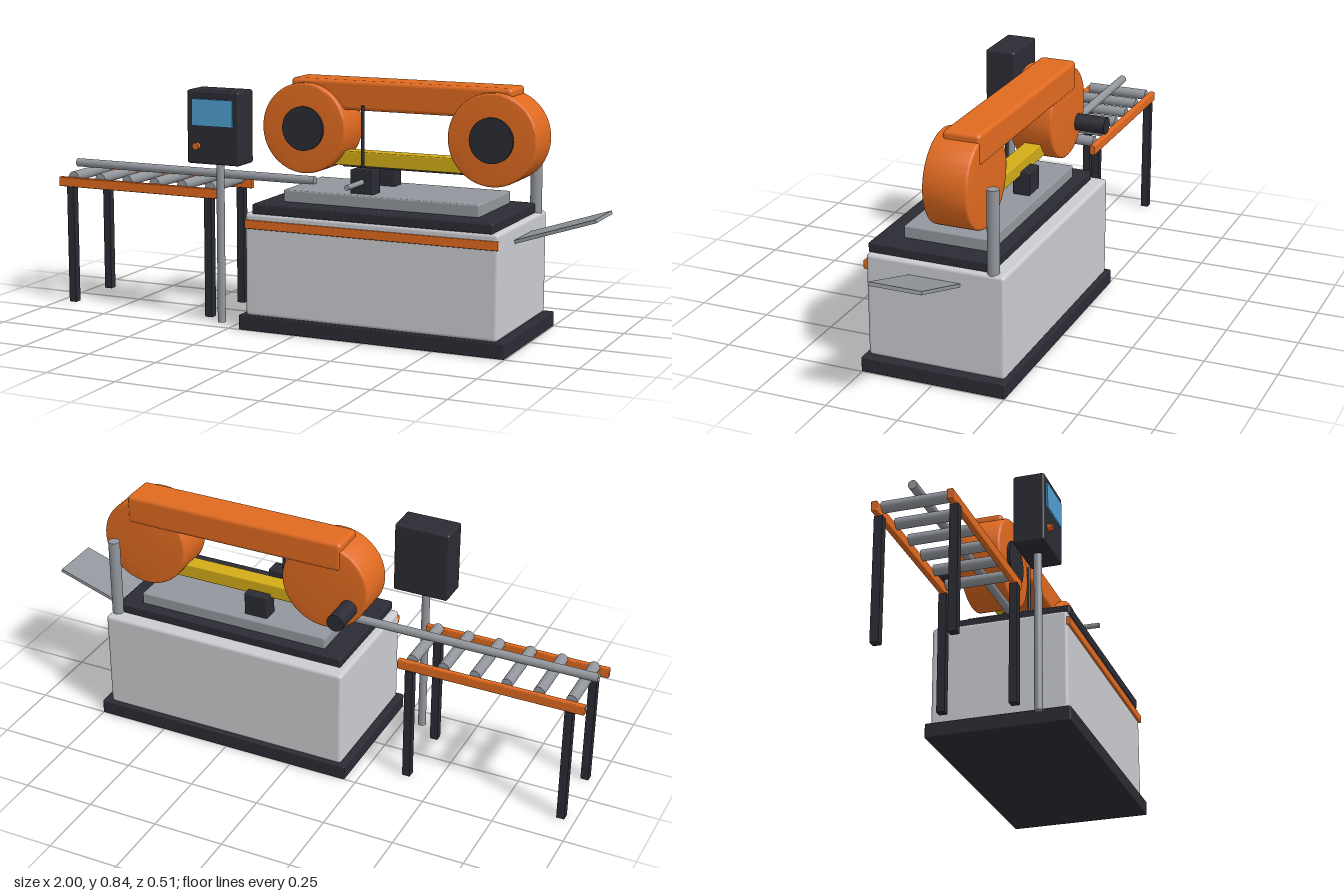
import * as THREE from 'three';
import { RoundedBoxGeometry } from 'three/addons/geometries/RoundedBoxGeometry.js';
import { toCreasedNormals } from 'three/addons/utils/BufferGeometryUtils.js';

export function createModel() {
  const model = new THREE.Group();
  model.name = 'bandSaw';

  const material = (name, color) => {
    const m = new THREE.MeshStandardMaterial({ color });
    m.name = name;
    return m;
  };
  const orange = material('orange paint', 0xe06a20);
  const dark = material('dark paint', 0x2b2c34);
  const light = material('light grey paint', 0xcbccd0);
  const steel = material('steel', 0x92969c);
  const yellow = material('yellow paint', 0xd2ac18);
  const blue = material('screen blue', 0x4f9fd0);

  const add = (name, geometry, mat, x = 0, y = 0, z = 0) => {
    const mesh = new THREE.Mesh(geometry, mat);
    mesh.name = name;
    mesh.position.set(x, y, z);
    model.add(mesh);
    return mesh;
  };
  // Box given by its ranges, with an optional edge radius
  const box = (name, mat, [x0, x1], [y0, y1], [z0, z1], r = 0) => {
    const size = [x1 - x0, y1 - y0, z1 - z0];
    const geometry = r ? new RoundedBoxGeometry(...size, 3, r) : new THREE.BoxGeometry(...size);
    return add(name, geometry, mat, (x0 + x1) / 2, (y0 + y1) / 2, (z0 + z1) / 2);
  };
  // Round bar between two points
  const rod = (name, mat, r, from, to) => {
    const a = new THREE.Vector3(...from);
    const b = new THREE.Vector3(...to);
    const mesh = add(name, new THREE.CylinderGeometry(r, r, a.distanceTo(b), 32), mat);
    mesh.position.copy(a).add(b).multiplyScalar(0.5);
    mesh.quaternion.setFromUnitVectors(new THREE.Vector3(0, 1, 0), b.sub(a).normalize());
    return mesh;
  };

  // Machine base
  box('plinth', dark, [-0.21, 0.75], [0, 0.052], [-0.253, 0.253], 0.004);
  box('cabinet', light, [-0.19, 0.72], [0.05, 0.406], [-0.24, 0.24], 0.012);
  box('cabinetStripe', orange, [-0.188, 0.72], [0.353, 0.383], [0.235, 0.249], 0.003);
  box('deck', dark, [-0.163, 0.7], [0.404, 0.438], [-0.19, 0.24], 0.005);
  box('table', steel, [-0.087, 0.62], [0.436, 0.479], [-0.152, 0.152], 0.005);

  // Saw head: two wheel housings joined by a beam
  const bevel = 0.007;
  const disc = new THREE.Shape().absarc(0, 0, 0.157 - bevel, 0, Math.PI * 2);
  const wheelGeometry = toCreasedNormals(new THREE.ExtrudeGeometry(disc, {
    depth: 0.151 - 2 * bevel, bevelThickness: bevel, bevelSize: bevel, bevelSegments: 3, curveSegments: 32,
  }), 0.6);
  for (const x of [-0.077, 0.61]) {
    add('wheelHousing', wheelGeometry, orange, x, 0.672, -0.136 + bevel);
    rod('wheelHub', dark, 0.077, [x, 0.672, 0.01], [x, 0.672, 0.025]);
  }
  box('headBeam', orange, [-0.137, 0.67], [0.74, 0.843], [-0.14, -0.011], 0.014);
  rod('driveMotor', dark, 0.03, [-0.167, 0.61, -0.13], [-0.167, 0.61, -0.243]);
  rod('supportColumn', steel, 0.02, [0.697, 0.4, -0.194], [0.697, 0.687, -0.194]);

  // Blade guard, blade and guide
  box('bladeGuard', yellow, [-0.02, 0.55], [0.546, 0.596], [-0.09, -0.03], 0.004);
  box('blade', dark, [0.04, 0.492], [0.538, 0.55], [-0.064, -0.056]);
  rod('bladeGuide', dark, 0.006, [0.139, 0.54, 0], [0.139, 0.76, 0]);

  // Vise
  box('frontJaw', dark, [0.147, 0.233], [0.477, 0.56], [0.062, 0.121], 0.004);
  box('rearJaw', dark, [0.147, 0.233], [0.477, 0.56], [-0.121, -0.062], 0.004);
  rod('viseHandle', steel, 0.009, [0.19, 0.519, 0.11], [0.19, 0.519, 0.243]);

  // Sloping discharge chute
  const chute = add('dischargeChute', new THREE.BoxGeometry(0.287, 0.012, 0.18), steel, 0.858, 0.4, 0);
  chute.rotation.z = 0.32;

  // Control console on its post
  rod('consolePost', steel, 0.014, [-0.315, 0, 0.178], [-0.315, 0.58, 0.178]);
  box('console', dark, [-0.414, -0.215], [0.56, 0.813], [0.123, 0.232], 0.008);
  box('screen', blue, [-0.392, -0.237], [0.692, 0.784], [0.23, 0.238]);
  rod('consoleButton', orange, 0.012, [-0.374, 0.622, 0.23], [-0.374, 0.622, 0.247]);

  // Infeed roller table
  for (const z of [-0.124, 0.121]) {
    box('conveyorRail', orange, [-1, -0.345], [0.422, 0.456], [z - 0.01, z + 0.01], 0.003);
    for (const x of [-0.95, -0.39]) {
      box('conveyorLeg', dark, [x - 0.014, x + 0.014], [0, 0.424], [z - 0.014, z + 0.014]);
    }
  }
  for (let i = 0; i < 6; i++) {
    const x = -0.95 + i * 0.1115;
    rod('roller', steel, 0.019, [x, 0.457, -0.115], [x, 0.457, 0.112]);
  }
  rod('barStock', steel, 0.015, [-1, 0.49, 0], [-0.04, 0.49, 0]);

  return model;
}
